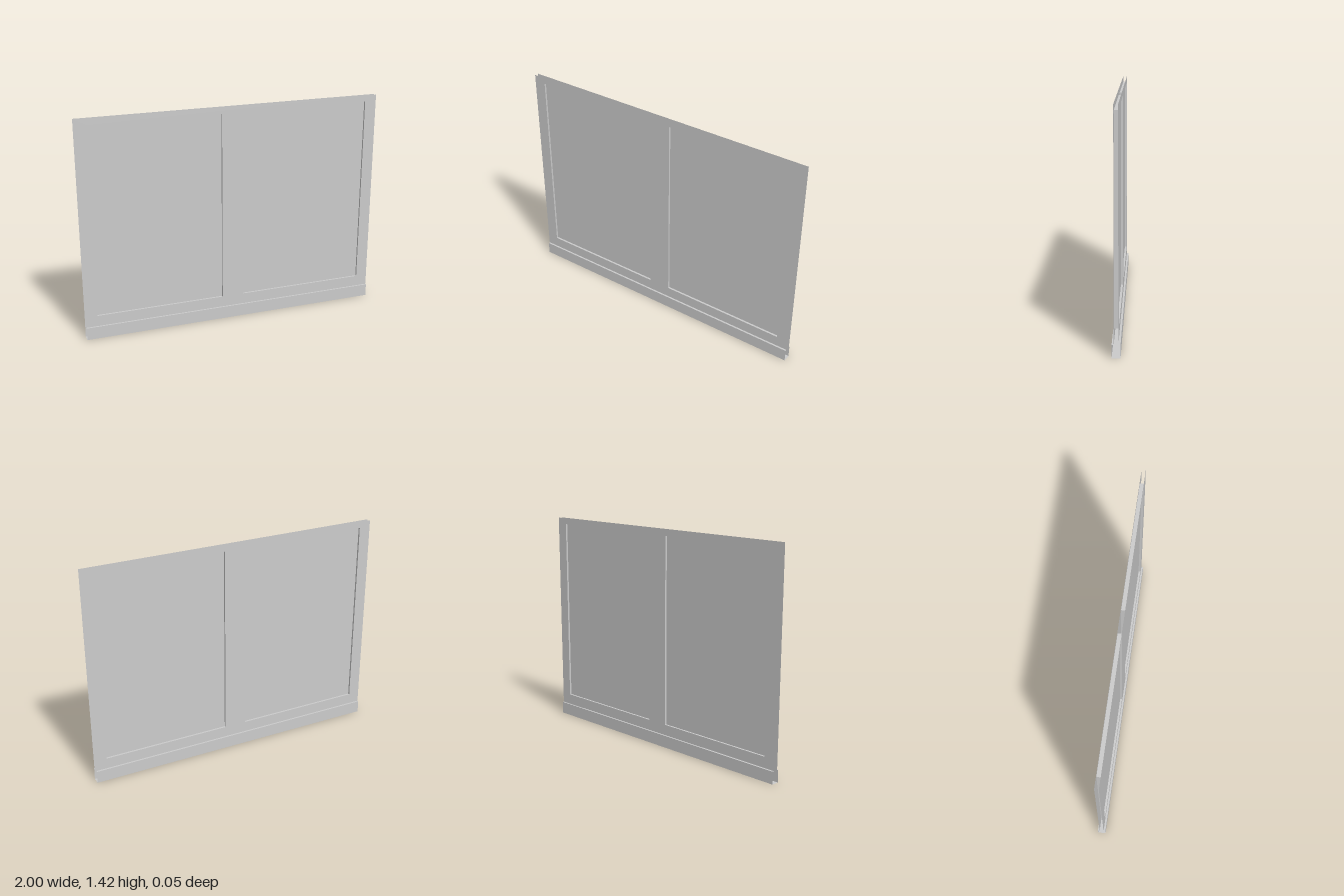
import * as THREE from 'three';

const H = 1.42, BASE_H = 0.08, BASE_X = 0.988; // overall height, base rail size
const ZF = 0.013, ZB = 0.025;                  // half depth of frame and of base rail
const mat = new THREE.MeshStandardMaterial({ color: 0xcccccc, side: THREE.DoubleSide, flatShading: true });

function mesh(geometry, name) {
  const m = new THREE.Mesh(geometry, mat);
  m.name = name;
  return m;
}

// Strip of quads joining two matching rows of 3D points
function ribbon(rowA, rowB) {
  const pos = [];
  for (let i = 0; i < rowA.length - 1; i++) {
    const [a, b, c, d] = [rowA[i], rowA[i + 1], rowB[i + 1], rowB[i]];
    pos.push(...a, ...b, ...c, ...a, ...c, ...d);
  }
  const g = new THREE.BufferGeometry();
  g.setAttribute('position', new THREE.Float32BufferAttribute(pos, 3));
  g.computeVertexNormals();
  return g;
}

const toVectors = pts => pts.map(([x, y]) => new THREE.Vector2(x, y));

export function createModel() {
  const group = new THREE.Group();

  // Window openings, very slightly wider at the top
  const opening = s => [[s * 0.073, 0.15], [s * 0.915, 0.15], [s * 0.922, 1.38], [s * 0.073, 1.38]];
  const openings = [opening(1), opening(-1)];

  // Thin front and back frame faces, open along the top and sides
  const face = new THREE.Shape(toVectors([[-0.99, BASE_H], [0.99, BASE_H], [1, H], [-1, H]]));
  for (const o of openings) face.holes.push(new THREE.Path(toVectors(o)));
  for (const [name, turn] of [['frontFrame', 0], ['backFrame', Math.PI]]) {
    const g = new THREE.ShapeGeometry(face).translate(0, 0, ZF).rotateY(turn);
    group.add(mesh(g, name));
  }

  // Reveal around each opening, and the pane set midway in it
  openings.forEach((o, i) => {
    const side = i ? 'right' : 'left';
    // run the loop clockwise so the reveal faces into the opening
    const loop = i ? [...o, o[0]] : [...o, o[0]].reverse();
    const at = z => loop.map(([x, y]) => [x, y, z]);
    group.add(mesh(ribbon(at(ZF), at(-ZF)), side + 'Reveal'));
    group.add(mesh(new THREE.ShapeGeometry(new THREE.Shape(toVectors(o))), side + 'Pane'));
  });

  // Base rail: folded channel with a ledge each side, open at its ends
  const profile = [[ZF, BASE_H], [ZB, BASE_H], [ZB, 0], [-ZB, 0], [-ZB, BASE_H], [-ZF, BASE_H]];
  const row = x => profile.map(([z, y]) => [x, y, z]);
  group.add(mesh(ribbon(row(-BASE_X), row(BASE_X)), 'baseRail'));

  return group;
}
